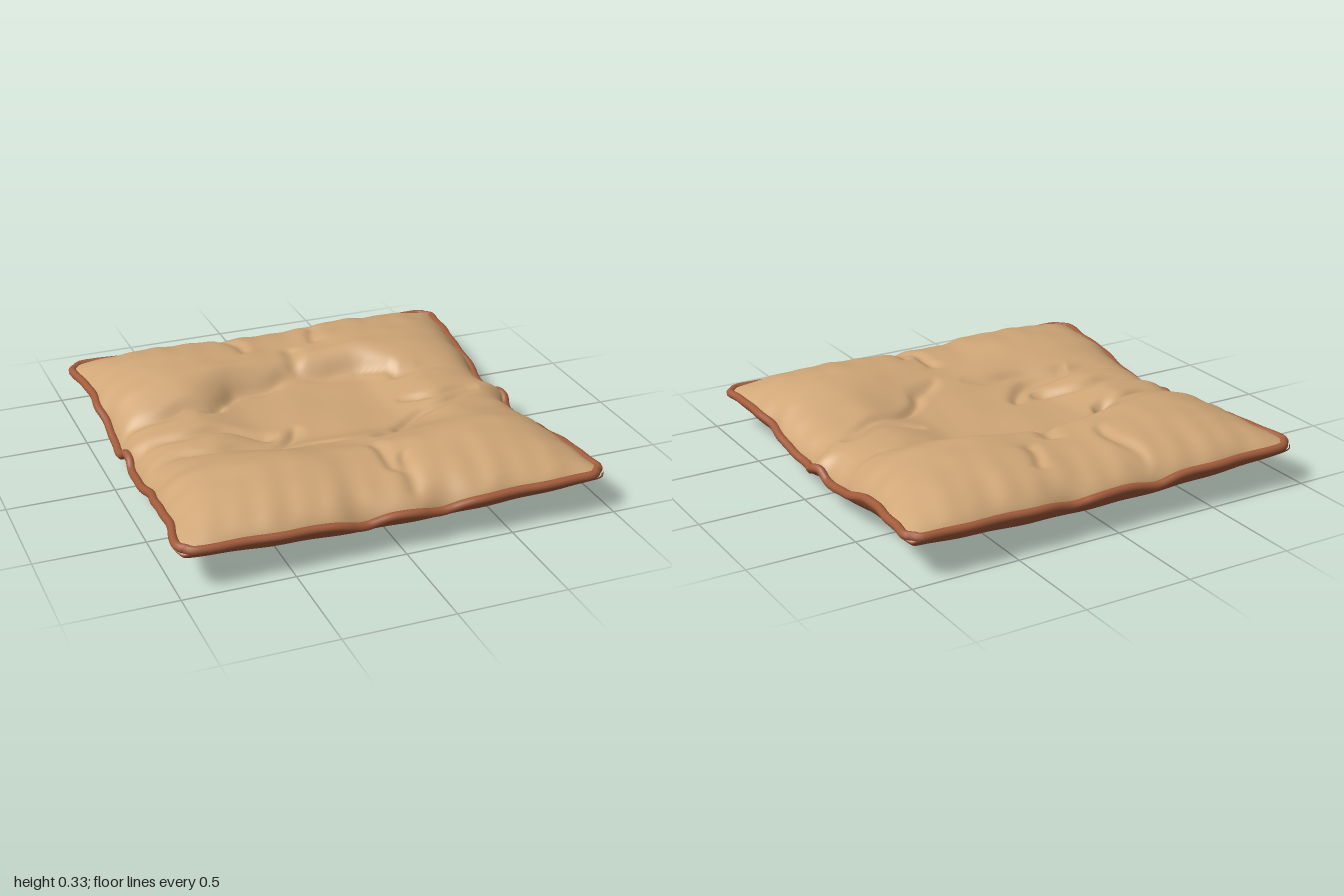
import * as THREE from 'three';

const { smoothstep, lerp, clamp } = THREE.MathUtils;
const bump = (t, centre, width) => Math.exp(-(((t - centre) / width) ** 2));

// Sag of the seam along each side of the square
const sagSide = v => 0.085 * bump(v, 0.12, 0.38) + 0.05 * bump(v, -0.27, 0.22) - 0.045 * bump(v, -0.03, 0.05);
const sagFront = u => 0.025 * bump(u, 0, 0.7) + 0.03 * bump(u, -0.17, 0.09) + 0.03 * bump(u, 0.21, 0.1);
const sagBack = u => 0.02 * bump(u, 0, 0.7) + 0.025 * bump(u, -0.25, 0.09) + 0.02 * bump(u, 0.2, 0.09);
const sagEnds = (u, v) => (v > 0 ? sagFront(u) : sagBack(u));

// Height of the seam, blended over the whole square
const seamY = (u, v) => 0.2 - u ** 6 * sagSide(v) - v ** 6 * sagEnds(u, v);

// Wavy, slightly turned square with rounded corners
function plan(u, v, inset) {
  const ripple = 0.005 * Math.sin(v * 17 + u * 2) + 0.003 * Math.sin(v * 31 + u);
  const fold = u > 0 ? 0.012 * bump(v, 0, 0.05) : 0;
  const hx = 0.95 + 0.045 * v ** 4 - 0.035 * v ** 60 + (ripple * (1 - v ** 8) + fold) * u ** 8;
  const hz = 0.99 - 0.035 * u ** 60 - 0.45 * sagEnds(u, v) * v ** 8 + 0.004 * Math.sin(u * 19) * (1 - u ** 8);
  const x = u * (hx - inset), z = v * (hz - inset);
  return [x - 0.013 * z, z + 0.01 * x];
}

// Main fabric creases: depth, width, then x, z points of a smooth line
const creases = [
  [0.04, 0.035, -1, -0.17, -0.6, -0.2, -0.4, -0.22],
  [0.022, 0.03, -0.55, -0.08, -0.38, -0.28, -0.2, -0.34, 0.05, -0.37, 0.4, -0.32, 0.52, -0.21, 1, -0.23],
  [0.03, 0.03, -1, 0.04, -0.5, 0.05, -0.25, 0.14],
  [0.025, 0.03, -1, 0.2, -0.3, 0.23, -0.14, 0.07],
  [0.02, 0.025, -0.55, 0.26, -0.35, 0.3, 0, 0.36],
  [0.025, 0.03, 0.1, 0.41, 0.25, 0.34, 0.37, 0.21, 1, 0.02],
  [0.025, 0.025, 0.38, 0.02, 0.6, 0.06, 0.8, 0.02],
  [0.022, 0.03, 0.04, 0.48, 0.06, 0.78],
  [0.022, 0.03, 0.14, 0.63, 0.06, 0.92],
  [0.02, 0.035, 0.07, -0.58, 0, -0.38],
  [0.018, 0.03, -0.22, -0.93, -0.16, -0.56],
  [0.018, 0.03, 0.26, -0.8, 0.2, -0.56],
].map(([depth, width, ...flat]) => {
  const points = [];
  for (let i = 0; i < flat.length; i += 2) points.push(new THREE.Vector2(flat[i], flat[i + 1]));
  return { depth, width, path: new THREE.SplineCurve(points).getPoints(14) };
});

// Total depth of the creases at a point, each fading out at its ends
function creaseDepth(x, z) {
  const px = x + 0.012 * Math.sin(z * 19 + x * 7), pz = z + 0.012 * Math.sin(x * 21 - z * 5);
  let total = 0;
  for (const { depth, width, path } of creases) {
    let nearest = Infinity, along = 0;
    for (let i = 0; i + 1 < path.length; i++) {
      const a = path[i], dx = path[i + 1].x - a.x, dz = path[i + 1].y - a.y;
      const t = clamp(((px - a.x) * dx + (pz - a.y) * dz) / (dx * dx + dz * dz), 0, 1);
      const distance = Math.hypot(px - a.x - t * dx, pz - a.y - t * dz);
      if (distance < nearest) {
        nearest = distance;
        along = (i + t) / (path.length - 1);
      }
    }
    total += depth * bump(nearest, 0, width) * Math.min(1, 6 * along * (1 - along));
  }
  return total;
}

// Gathers running in from one pair of sides; a is across the seam, b along it
const gathers = (a, b) =>
  0.008 * Math.exp((Math.abs(a) - 1) / 0.14) * (Math.sin(b * 22 + 3 * a) + Math.sin(b * 41 + 7 * a)) * (1 - b ** 6);

// Stuffed upper face: puffed ends, lower sides and a sunken middle
function topY(u, v, x, z) {
  const middle = 1 - smoothstep(Math.abs(x), 0.3, 0.6);
  const backEdge = lerp(-0.28, -0.39 + 0.2 * x * x, middle);
  const soft = lerp(0.16, 0.09, middle);
  const valley = smoothstep(z, backEdge - soft, backEdge + soft) * (1 - smoothstep(z, 0.18, 0.58));
  const stuffed = 0.327 - valley * (0.077 + 0.05 * middle)
    - 0.03 * bump(x, 0, 0.25) * smoothstep(Math.abs(z), 0.3, 0.5)
    - creaseDepth(x, z)
    + 0.004 * Math.sin(9 * x + 5 * z) * Math.sin(7 * z - 4 * x)
    + 0.002 * Math.sin(17 * x - 13 * z + 2 * Math.sin(6 * z)) * Math.sin(8 * x + 11 * z)
    + gathers(v, u) + gathers(u, v);
  const puff = ((1 - u ** 6) * (1 - v ** 6)) ** 0.75;
  return lerp(seamY(u, v), stuffed, puff);
}

// Shallow bowl of the underside
function bottomY(u, v) {
  const m = Math.max(Math.abs(u), Math.abs(v));
  return lerp(0.05 * u * u + 0.085 * v * v, seamY(u, v) - 0.012, m ** 18);
}

// Square sheet, denser near its edges, shaped by a height rule
function sheet(segments, facing, inset, height) {
  const geometry = new THREE.PlaneGeometry(2, 2, segments, segments).rotateX(-facing * Math.PI / 2);
  const p = geometry.attributes.position;
  const dense = t => clamp(0.3 * t + 0.7 * Math.sin(t * Math.PI / 2), -1, 1);
  for (let i = 0; i < p.count; i++) {
    const u = dense(p.getX(i)), v = dense(p.getZ(i));
    const [x, z] = plan(u, v, inset);
    p.setXYZ(i, x, height(u, v, x, z), z);
  }
  geometry.computeVertexNormals();
  return geometry;
}

// Closed seam curve around the square
function seamCurve(inset) {
  const points = [], n = 60;
  const corners = [[-1, -1], [-1, 1], [1, 1], [1, -1]];
  corners.forEach(([a, b], k) => {
    const [c, d] = corners[(k + 1) % 4];
    for (let i = 0; i < n; i++) {
      const t = (1 - Math.cos(Math.PI * i / n)) / 2;
      const u = lerp(a, c, t), v = lerp(b, d, t);
      const [x, z] = plan(u, v, inset);
      points.push(new THREE.Vector3(x, seamY(u, v) - 0.005, z));
    }
  });
  const curve = new THREE.CatmullRomCurve3(points, true);
  curve.arcLengthDivisions = 800;
  return curve;
}

function fabric(name, color) {
  const material = new THREE.MeshStandardMaterial({ color });
  material.name = name;
  return material;
}

export function createModel() {
  const tan = fabric('tan fabric', 0xcfa677);
  const brown = fabric('brown fabric', 0xa35c3c);

  const cushion = new THREE.Group();
  cushion.name = 'cushion';
  const add = (name, geometry, material) => {
    const mesh = new THREE.Mesh(geometry, material);
    mesh.name = name;
    cushion.add(mesh);
  };
  add('cushionTop', sheet(180, 1, 0.03, topY), tan);
  add('cushionUnderside', sheet(110, -1, 0.002, bottomY), brown);
  add('seamPiping', new THREE.TubeGeometry(seamCurve(0.02), 560, 0.02, 10, true), brown);
  return cushion;
}
